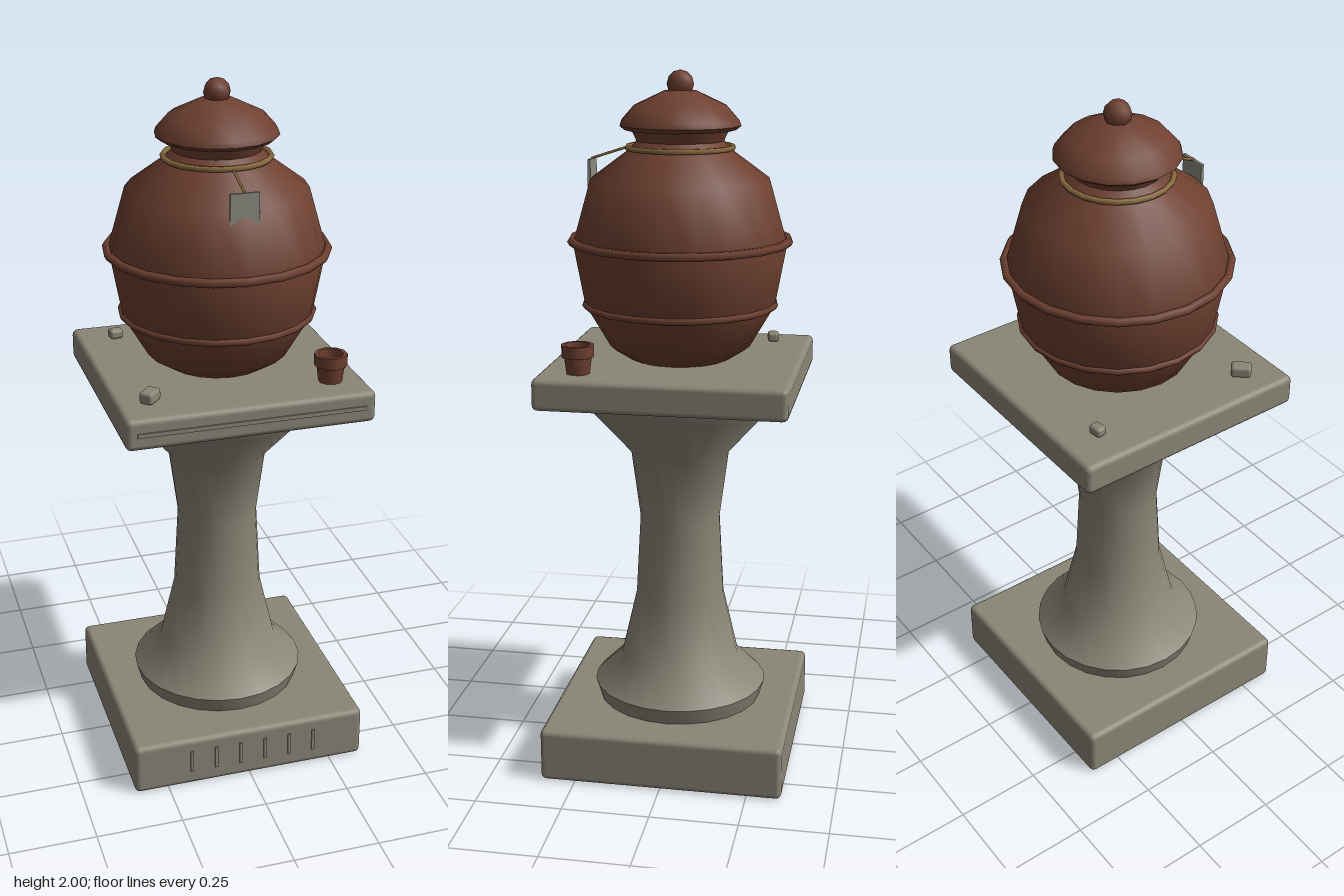
import * as THREE from 'three';
import { toCreasedNormals } from 'three/addons/utils/BufferGeometryUtils.js';
import { RoundedBoxGeometry } from 'three/addons/geometries/RoundedBoxGeometry.js';

const material = (name, color, side = THREE.FrontSide) => {
  const m = new THREE.MeshStandardMaterial({ color, side });
  m.name = name;
  return m;
};

export function createModel() {
  const model = new THREE.Group();
  model.name = 'urnOnPedestal';
  const stone = material('stone', 0x8a8677);
  const clay = material('clay', 0x6e4030);
  const rope = material('rope', 0x8a6a3e);
  const tagGrey = material('tagGrey', 0x8c8c82);

  const add = (name, geometry, mat, x = 0, y = 0, z = 0) => {
    const mesh = new THREE.Mesh(geometry, mat);
    mesh.name = name;
    mesh.position.set(x, y, z);
    model.add(mesh);
    return mesh;
  };
  // profile is a list of [radius, height], bottom to top
  const lathe = (profile, sides, crease) => {
    const g = new THREE.LatheGeometry(profile.map(([r, y]) => new THREE.Vector2(r, y)), sides);
    return crease ? toCreasedNormals(g, crease) : g;
  };
  const ring = (name, radius, tube, y, mat, sides) => {
    const g = new THREE.TorusGeometry(radius, tube, 6, sides);
    g.rotateX(Math.PI / 2).rotateY(Math.PI / 2);
    return add(name, g, mat, 0, y, 0);
  };

  // Pedestal
  add('pedestalBase', new RoundedBoxGeometry(0.7, 0.155, 0.7, 2, 0.016), stone, 0, 0.0805, 0);
  add('column', lathe([[0, 0.15], [0.24, 0.155], [0.255, 0.205], [0.175, 0.285], [0.13, 0.48],
    [0.117, 0.72], [0.143, 0.92], [0.268, 1.06], [0.285, 1.12], [0, 1.12]], 24, 1), stone);
  add('topSlab', new RoundedBoxGeometry(0.7, 0.09, 0.7, 2, 0.016), stone, 0, 1.155, 0);
  add('slabMoulding', new THREE.BoxGeometry(0.64, 0.012, 0.008), stone, 0, 1.156, 0.35);

  // Row of plain upright flutes on the base
  for (let i = 0; i < 6; i++) {
    add('baseFlute', new THREE.BoxGeometry(0.009, 0.07, 0.006), stone, -0.18 + i * 0.075, 0.085, 0.351);
  }

  // Urn body and its raised bands
  add('urnBody', lathe([[0, 1.2], [0.145, 1.2], [0.2, 1.235], [0.27, 1.355], [0.302, 1.53],
    [0.252, 1.705], [0.15, 1.78], [0.122, 1.81], [0.14, 1.85], [0, 1.85]], 20, 0.9), clay);
  ring('upperBand', 0.306, 0.012, 1.535, clay, 20);
  ring('lowerBand', 0.269, 0.01, 1.355, clay, 20);

  // Lid and knob
  add('lid', lathe([[0, 1.84], [0.155, 1.84], [0.17, 1.852], [0.165, 1.866], [0.13, 1.905],
    [0.045, 1.945], [0, 1.95]], 16, 0.8), clay);
  add('lidKnob', new THREE.SphereGeometry(0.038, 8, 6), clay, 0, 1.963, 0);

  // Rope round the neck with a cord reaching forward to the tag
  ring('neckRope', 0.147, 0.008, 1.792, rope, 20);
  const cord = new THREE.LineCurve3(new THREE.Vector3(0, 1.79, 0.15), new THREE.Vector3(0, 1.757, 0.252));
  add('tagCord', new THREE.TubeGeometry(cord, 4, 0.004, 6), rope);

  // Swallow-tailed tag
  const tag = new THREE.Shape();
  tag.moveTo(-0.04, 0.1);
  tag.lineTo(-0.04, 0);
  tag.lineTo(0, 0.022);
  tag.lineTo(0.04, 0);
  tag.lineTo(0.04, 0.1);
  tag.closePath();
  add('tag', new THREE.ExtrudeGeometry(tag, { depth: 0.008, bevelEnabled: false }), tagGrey, 0, 1.657, 0.247);

  // Small open cup
  add('cup', lathe([[0, 0], [0.033, 0], [0.039, 0.045], [0.046, 0.047], [0.046, 0.08],
    [0.035, 0.08], [0.029, 0.03], [0, 0.03]], 10, 0.7), clay, 0.255, 1.2, 0.239);

  // Loose pebbles: x, z, length, height, depth, turn
  for (const [x, z, l, h, d, turn] of [
    [-0.257, 0.238, 0.057, 0.034, 0.04, 0.85],
    [-0.24, -0.24, 0.04, 0.028, 0.033, 0.15],
  ]) {
    add('pebble', new RoundedBoxGeometry(l, h, d, 2, 0.009), stone, x, 1.2 + h / 2, z).rotation.y = turn;
  }
  return model;
}
